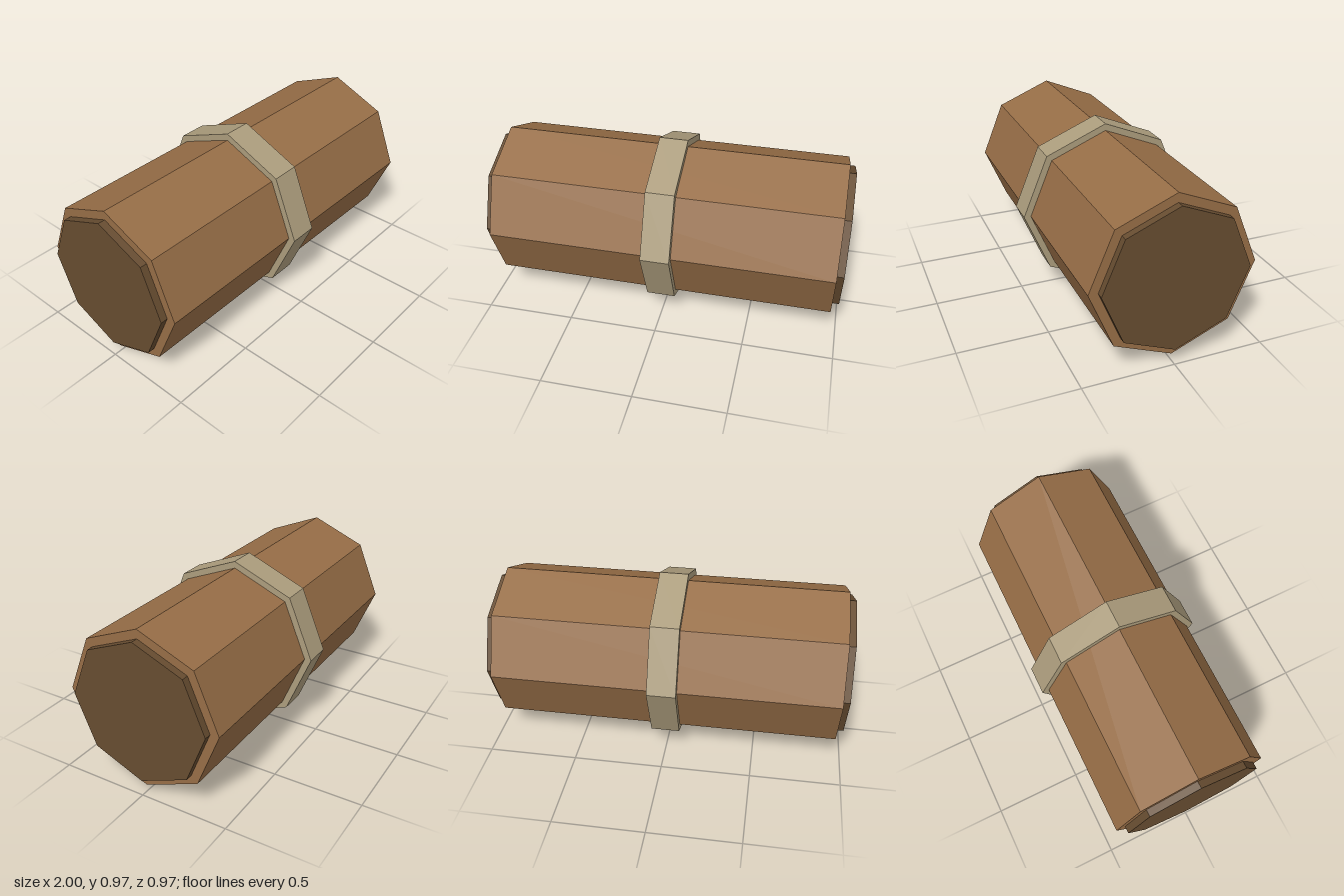
import * as THREE from 'three';

const SIDES = 8;
const AXIS_Y = 0.488;

function makeMaterial(name, color) {
  const material = new THREE.MeshStandardMaterial({ color, flatShading: true });
  material.name = name;
  return material;
}

// Octagonal prism lying along x, with corners at the top and the sides
function prism(name, radius, length, material, x = 0) {
  const geometry = new THREE.CylinderGeometry(radius, radius, length, SIDES);
  geometry.rotateZ(-Math.PI / 2);
  const mesh = new THREE.Mesh(geometry, material);
  mesh.name = name;
  mesh.position.set(x, AXIS_Y, 0);
  return mesh;
}

export function createModel() {
  const model = new THREE.Group();
  model.name = 'bandedRoll';

  const brown = makeMaterial('warm brown', 0x966d46);
  const darkBrown = makeMaterial('dark brown', 0x664c30);
  const tan = makeMaterial('tan band', 0xab9c7c);

  // Main body and the strap around its middle
  model.add(prism('body', 0.448, 1.92, brown));
  model.add(prism('band', 0.487, 0.16, tan));

  // Slightly narrower discs standing out of both ends
  for (const side of [1, -1]) {
    model.add(prism(side > 0 ? 'leftEndCap' : 'rightEndCap', 0.397, 0.08, darkBrown, side * 0.96));
  }

  return model;
}
